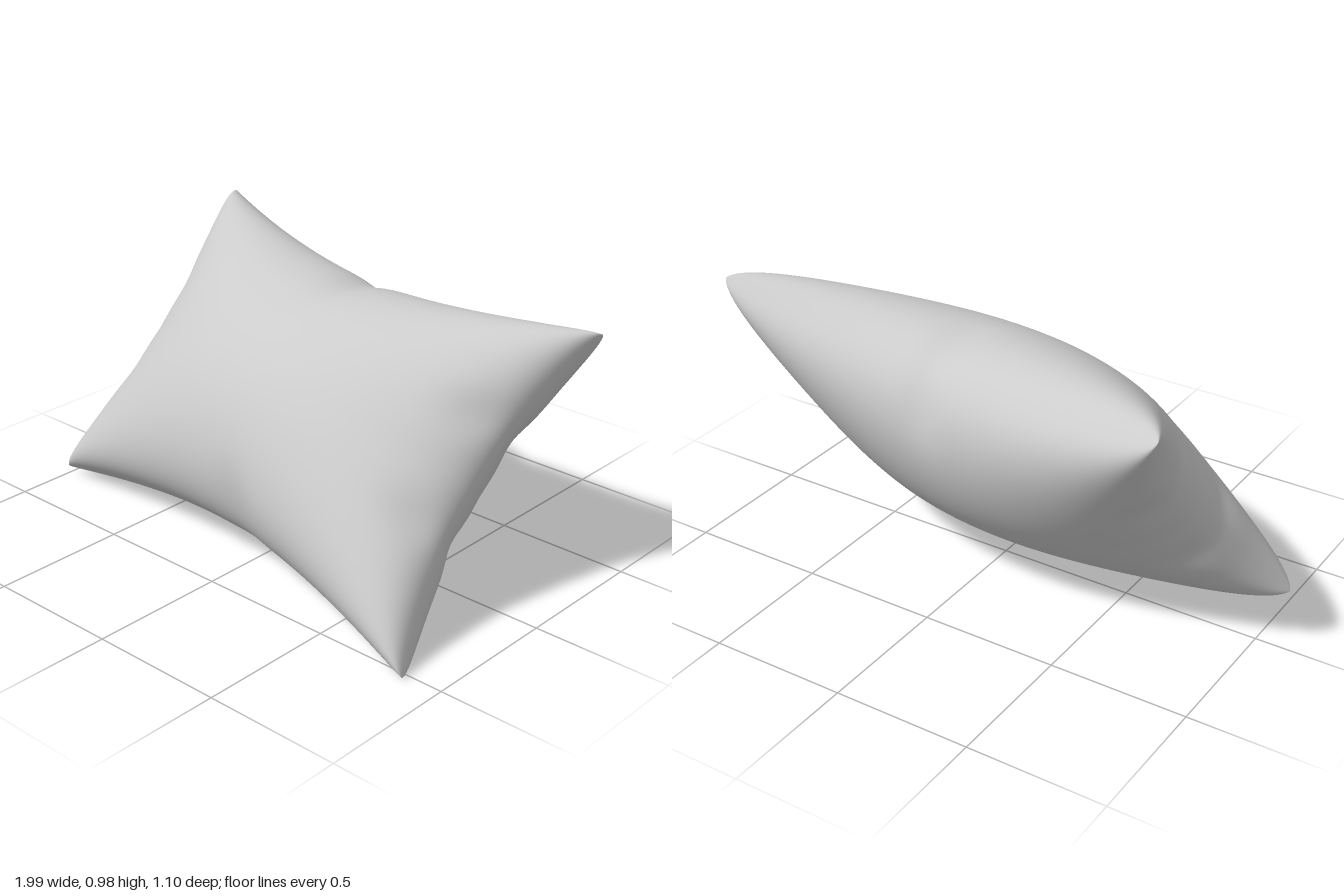
import * as THREE from 'three';
import { mergeVertices } from 'three/addons/utils/BufferGeometryUtils.js';

// Creases where the seam puckers: position on the unit square, widths, thinning, seam pull
const creases = [
  { s: 0.1, r: -1, ws: 0.09, wr: 0.25, thin: 0.12, pull: 0.005 },
  { s: 0.03, r: 1, ws: 0.08, wr: 0.2, thin: 0.08, pull: 0.015 },
  { s: 1, r: 0.33, ws: 0.12, wr: 0.13, thin: 0.22, pull: 0.005 },
  { s: 1, r: -0.3, ws: 0.12, wr: 0.12, thin: 0.22, pull: 0.005 },
  { s: -1, r: 0.3, ws: 0.1, wr: 0.12, thin: 0.15, pull: 0.005 },
  { s: -1, r: -0.3, ws: 0.1, wr: 0.12, thin: 0.15, pull: 0.005 },
];

// One padded face: a grid whose sides curve inward and whose middle swells
function face(side, swell) {
  const geo = new THREE.PlaneGeometry(2, 2, 80, 64);
  const p = geo.attributes.position;
  for (let i = 0; i < p.count; i++) {
    // crowd the grid lines towards the seam
    const s = Math.sin(p.getX(i) * Math.PI / 2);
    const r = Math.sin(p.getY(i) * Math.PI / 2);
    let x = s * (0.805 + 0.137 * r * r);
    let y = r * (0.49 + 0.135 * Math.abs(s) ** 1.8);
    // a lower power towards the corners keeps them plump
    const power = 0.505 - 0.15 * Math.abs(s * r);
    let z = swell * (Math.max(0, 1 - s * s) * Math.max(0, 1 - r * r)) ** power;
    for (const c of creases) {
      const g = Math.exp(-(((s - c.s) / c.ws) ** 2) - ((r - c.r) / c.wr) ** 2);
      z *= 1 - c.thin * g;
      if (Math.abs(c.s) === 1) x -= c.s * c.pull * g;
      else y -= c.r * c.pull * g;
    }
    p.setXYZ(i, x, y, side * z);
  }
  // the back face needs its corner order reversed
  const index = Array.from(geo.index.array);
  if (side < 0) index.reverse();
  return { positions: Array.from(p.array), index };
}

export function createModel() {
  const group = new THREE.Group();
  group.name = 'pillow';

  // Sew front and back faces into one smooth skin
  const front = face(1, 0.361);
  const back = face(-1, 0.341);
  const offset = front.positions.length / 3;
  let geo = new THREE.BufferGeometry();
  geo.setAttribute('position', new THREE.Float32BufferAttribute([...front.positions, ...back.positions], 3));
  geo.setIndex([...front.index, ...back.index.map((i) => i + offset)]);
  geo = mergeVertices(geo, 1e-5);
  geo.computeVertexNormals();

  const cushion = new THREE.Mesh(geo, new THREE.MeshStandardMaterial({ color: 0xcccccc }));
  cushion.name = 'cushion';

  // Lean the pillow back and turn it slightly
  const u = new THREE.Vector3(0.99, -0.011, 0.135).normalize();
  const n = new THREE.Vector3().crossVectors(u, new THREE.Vector3(0.106, 0.75, -0.653)).normalize();
  const v = new THREE.Vector3().crossVectors(n, u);
  cushion.quaternion.setFromRotationMatrix(new THREE.Matrix4().makeBasis(u, v, n));
  cushion.position.y = 0.497;
  group.add(cushion);
  return group;
}
